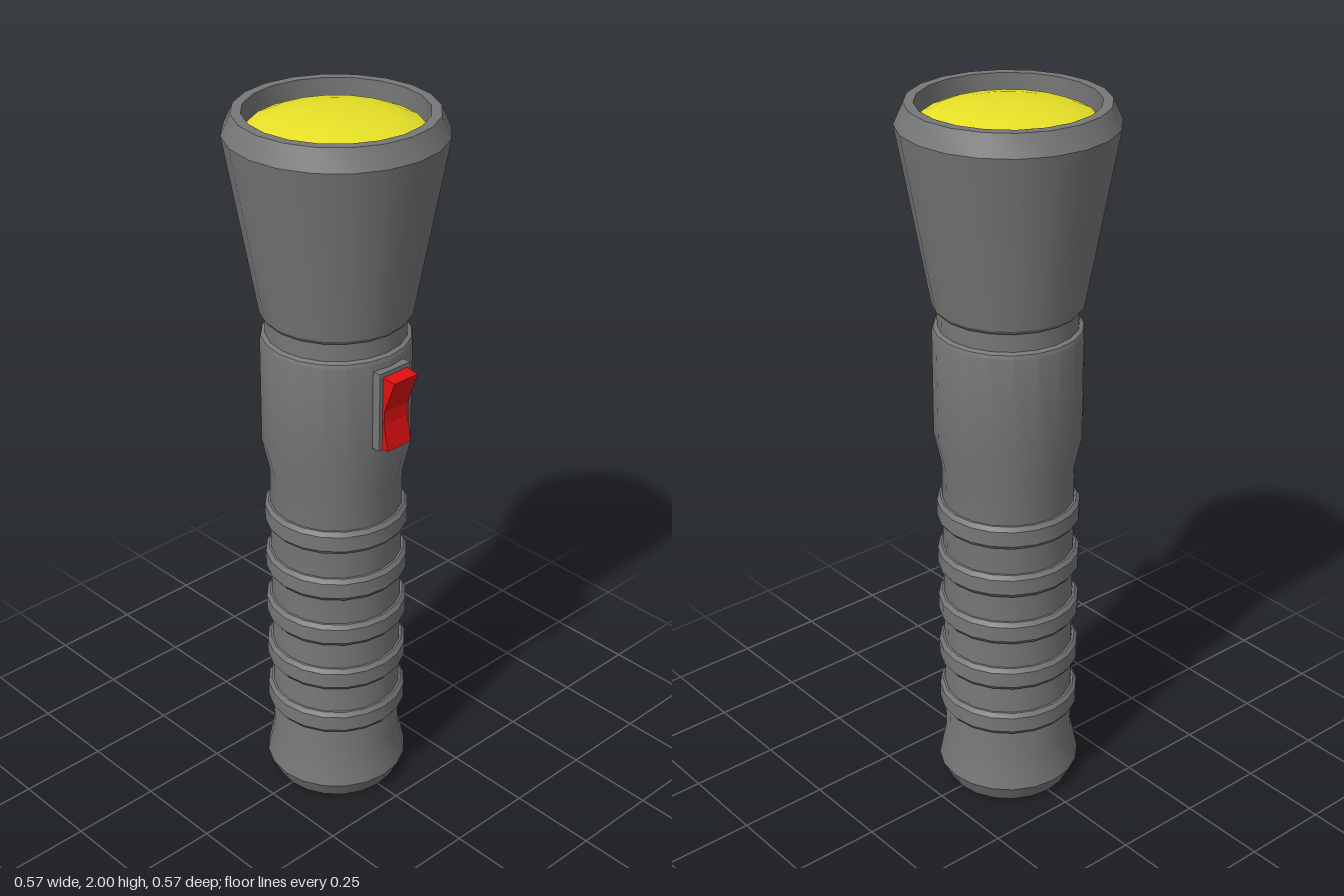
import * as THREE from 'three';
import { toCreasedNormals } from 'three/addons/utils/BufferGeometryUtils.js';

const SIDES = 20;
const grey = new THREE.MeshStandardMaterial({ color: 0x777777 });
const yellow = new THREE.MeshStandardMaterial({ color: 0xe8e227 });
const red = new THREE.MeshStandardMaterial({ color: 0xe01010 });

function addMesh(parent, name, geometry, material) {
  const mesh = new THREE.Mesh(geometry, material);
  mesh.name = name;
  parent.add(mesh);
  return mesh;
}

// Turned part from [radius, height] pairs, bottom to top on the outside
function turned(points) {
  const profile = points.map(([r, y]) => new THREE.Vector2(r, y));
  return toCreasedNormals(new THREE.LatheGeometry(profile, SIDES), 0.42);
}

export function createModel() {
  const group = new THREE.Group();
  group.name = 'flashlight';

  // Handle with flared foot and wider switch section
  addMesh(group, 'handle', turned([
    [0, 0], [0.175, 0], [0.2, 0.05], [0.18, 0.15], [0.18, 1.0],
    [0.2, 1.09], [0.2, 1.39], [0.197, 1.4], [0.186, 1.405], [0.186, 1.46], [0, 1.46],
  ]), grey);

  // Grip rings
  for (let i = 0; i < 5; i++) {
    const ring = addMesh(group, 'gripRing', turned([
      [0.175, 0], [0.186, 0], [0.195, 0.012], [0.195, 0.056], [0.186, 0.068], [0.175, 0.068],
    ]), grey);
    ring.position.y = 0.235 + i * 0.149;
  }

  // Flared head with a chamfered rim and a recess for the lens
  addMesh(group, 'head', turned([
    [0, 1.455], [0.19, 1.455], [0.2, 1.467], [0.285, 1.945], [0.26, 2], [0.234, 2], [0.234, 1.92], [0, 1.92],
  ]), grey);

  // Domed lens
  const dome = [];
  for (let i = 0; i <= 5; i++) {
    const a = (i / 5) * Math.PI / 2;
    dome.push([0.234 * Math.cos(a), 1.94 + 0.05 * Math.sin(a)]);
  }
  dome[5][0] = 0;
  addMesh(group, 'lens', turned(dome), yellow);

  // Switch on the front
  const switchGroup = new THREE.Group();
  switchGroup.name = 'switch';
  group.add(switchGroup);

  const frame = addMesh(switchGroup, 'switchFrame', new THREE.BoxGeometry(0.106, 0.222, 0.06), grey);
  frame.position.set(0, 1.261, 0.186);

  // Rocker side profile as [z, y], extruded across the width
  const side = new THREE.Shape([
    [0.19, 1.153], [0.236, 1.153], [0.222, 1.225], [0.222, 1.262], [0.257, 1.357], [0.19, 1.362],
  ].map(([z, y]) => new THREE.Vector2(z, y)));
  const rocker = new THREE.ExtrudeGeometry(side, { depth: 0.084, bevelEnabled: false });
  rocker.translate(0, 0, -0.042).rotateY(-Math.PI / 2);
  addMesh(switchGroup, 'rocker', rocker, red);

  return group;
}
